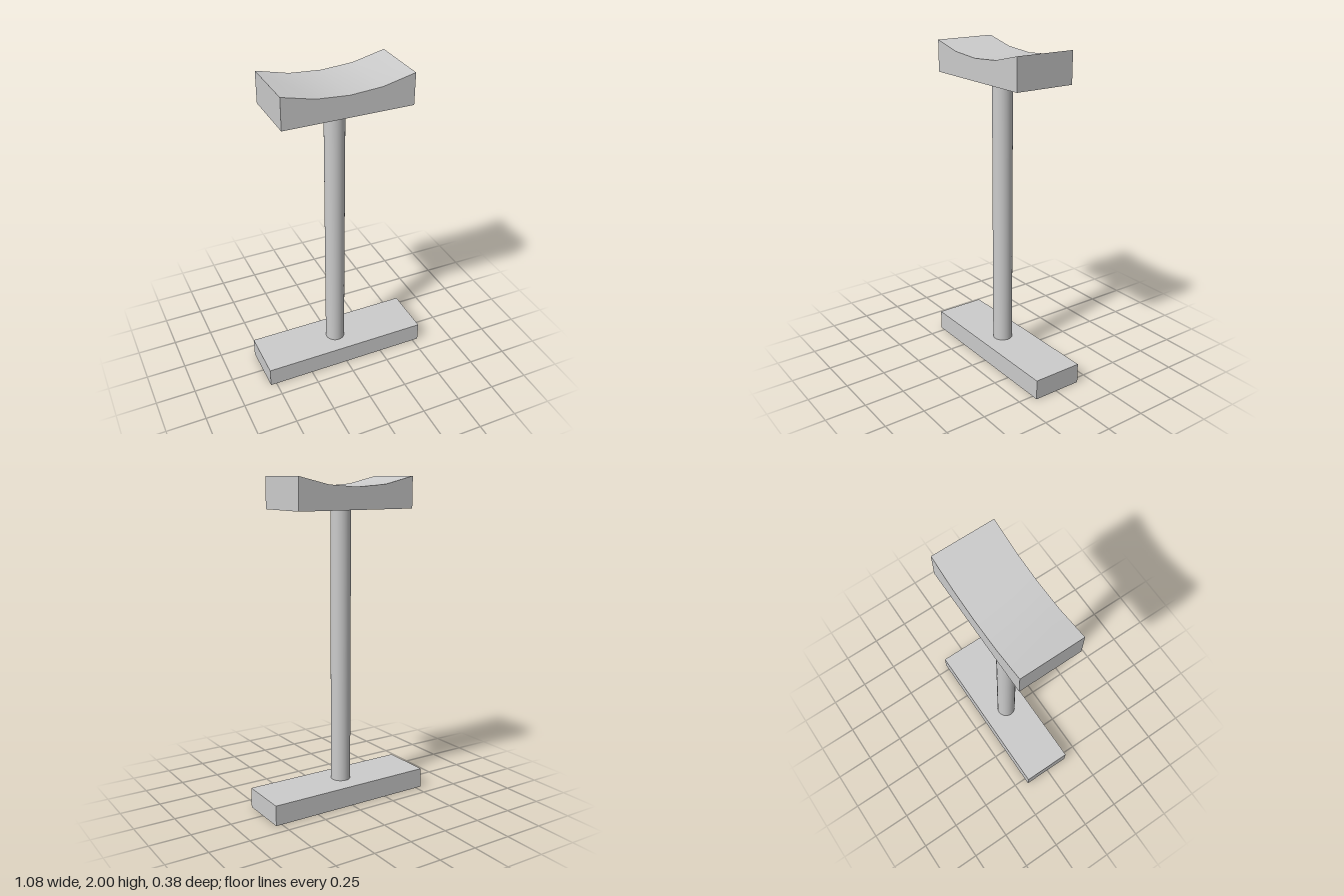
import * as THREE from 'three';
import { toCreasedNormals } from 'three/addons/utils/BufferGeometryUtils.js';

export function createModel() {
  const group = new THREE.Group();
  const material = new THREE.MeshStandardMaterial({ color: 0xcccccc });

  const add = (name, geometry, x, y, z) => {
    const mesh = new THREE.Mesh(geometry, material);
    mesh.name = name;
    mesh.position.set(x, y, z);
    group.add(mesh);
  };

  // Flat foot bar
  add('base', new THREE.BoxGeometry(1.076, 0.125, 0.317), 0, 0.0625, -0.0085);

  // Round upright, slightly off centre
  const bottom = 0.125, top = 1.81;
  add('post', new THREE.CylinderGeometry(0.061, 0.061, top - bottom, 32),
    -0.018, (top + bottom) / 2, -0.002);

  // Headrest block with a shallow dished top
  const half = 0.3915, depth = 0.38;
  const profile = [
    [-half, 0], [half, 0], [half, 0.19], [half / 2, 0.144],
    [0, 0.13], [-half / 2, 0.144], [-half, 0.19],
  ].map(([x, y]) => new THREE.Vector2(x, y));
  const rest = new THREE.ExtrudeGeometry(new THREE.Shape(profile), { depth, bevelEnabled: false });
  add('headrest', toCreasedNormals(rest, 0.5), -0.0135, top, -depth / 2);

  return group;
}
